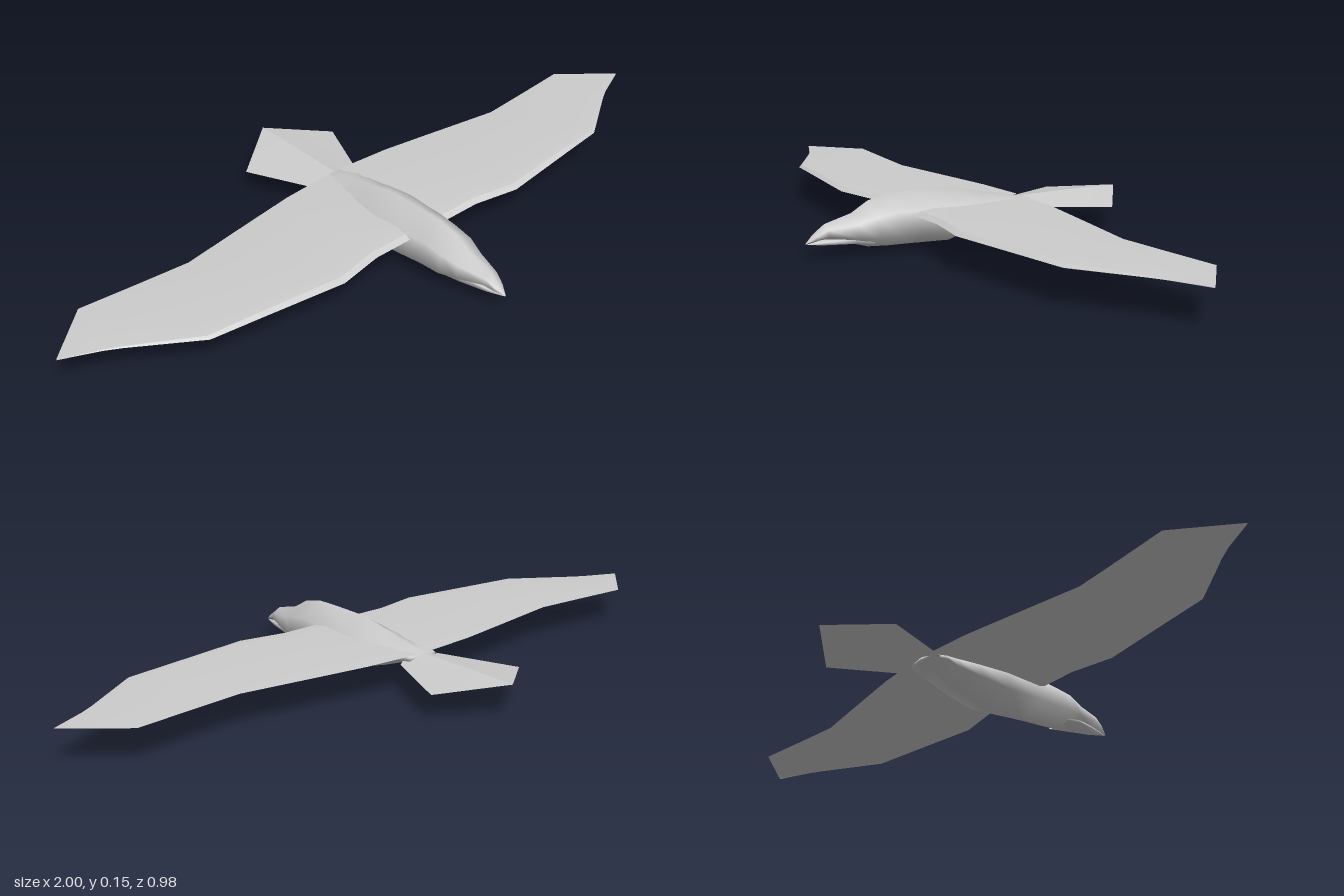
import * as THREE from 'three';
import { toCreasedNormals } from 'three/addons/utils/BufferGeometryUtils.js';

// Skin a list of equal-length rings of [x, y, z] points.
function loft(rings) {
  const n = rings[0].length, index = [];
  for (let i = 0; i < rings.length - 1; i++) {
    for (let j = 0; j < n; j++) {
      const a = i * n + j, a2 = i * n + (j + 1) % n;
      index.push(a, a + n, a2, a2, a + n, a2 + n);
    }
  }
  const g = new THREE.BufferGeometry();
  g.setAttribute('position', new THREE.Float32BufferAttribute(rings.flat(2), 3));
  g.setIndex(index);
  g.computeVertexNormals();
  return g;
}

// Six-sided body section: ridge, shoulders, flanks, keel.
function hexRing([z, top, bottom, w]) {
  const up = bottom + (top - bottom) * 0.7, low = bottom + (top - bottom) * 0.27;
  return [[0, top, z], [-w * 0.85, up, z], [-w, low, z], [0, bottom, z], [w, low, z], [w * 0.85, up, z]];
}

// Wing stations: x, leading z, trailing z, thickness factor
const WING = [
  [0.02, 0.205, -0.17, 1], [0.18, 0.205, -0.158, 1], [0.31, 0.23, -0.138, 1],
  [0.55, 0.198, -0.1, 0.8], [0.69, 0.18, -0.112, 0.6], [0.86, 0.068, -0.128, 0.25],
  [0.9, 0.045, -0.092, 0.15], [1, 0, -0.002, 0],
];

function wingGeometry(side) {
  const rings = WING.map(([x, lead, trail, t]) => {
    const ring = [
      [side * x, 0.099, lead],
      [side * x, 0.1 + 0.009 * t, lead - 0.016 * t],
      [side * x, 0.1 + 0.012 * t, lead - 0.055 * t],
      [side * x, 0.1, trail],
      [side * x, 0.1 - 0.008 * t, lead - 0.02 * t],
    ];
    return side > 0 ? ring : ring.reverse();
  });
  return toCreasedNormals(loft(rings), 0.4);
}

export function createModel() {
  const plumage = new THREE.MeshStandardMaterial({ color: 0xcccccc, side: THREE.DoubleSide });
  plumage.name = 'plumage grey';
  const bird = new THREE.Group();
  bird.name = 'bird';
  const add = (name, geometry) => {
    const mesh = new THREE.Mesh(geometry, plumage);
    mesh.name = name;
    bird.add(mesh);
  };

  // Body and upper bill: z, top, bottom, half width
  add('body', loft([
    [0.49, 0.047, 0.046, 0.001], [0.465, 0.07, 0.05, 0.016], [0.435, 0.093, 0.052, 0.026],
    [0.36, 0.112, 0.032, 0.049], [0.31, 0.14, 0.017, 0.064], [0.25, 0.153, 0.012, 0.068],
    [0.18, 0.153, 0.009, 0.077], [0.065, 0.15, 0.003, 0.086], [-0.02, 0.131, 0.029, 0.077],
    [-0.09, 0.116, 0.054, 0.066], [-0.125, 0.108, 0.074, 0.063], [-0.17, 0.1, 0.082, 0.05],
    [-0.175, 0.091, 0.091, 0],
  ].map(hexRing)));

  // Lower bill
  add('lowerBill', loft([
    [0.487, 0.045, 0.044, 0.001], [0.44, 0.052, 0.037, 0.018],
    [0.36, 0.06, 0.031, 0.038], [0.31, 0.06, 0.022, 0.04],
  ].map(hexRing)));

  // Wings
  add('leftWing', wingGeometry(1));
  add('rightWing', wingGeometry(-1));

  // Tail fan: two sheets folded along a central ridge
  for (const side of [1, -1]) {
    const tail = new THREE.BufferGeometry();
    tail.setAttribute('position', new THREE.Float32BufferAttribute([
      0, 0.1, -0.12, side * 0.072, 0.08, -0.16, side * 0.16, 0.073, -0.365,
      0, 0.098, -0.365, 0, 0.095, -0.49,
    ], 3));
    const faces = [[0, 1, 3], [1, 2, 3], [3, 2, 4]];
    tail.setIndex(faces.flatMap(([a, b, c]) => (side > 0 ? [a, c, b] : [a, b, c]).slice().reverse()));
    tail.computeVertexNormals();
    add(side > 0 ? 'leftTail' : 'rightTail', tail);
  }
  return bird;
}
